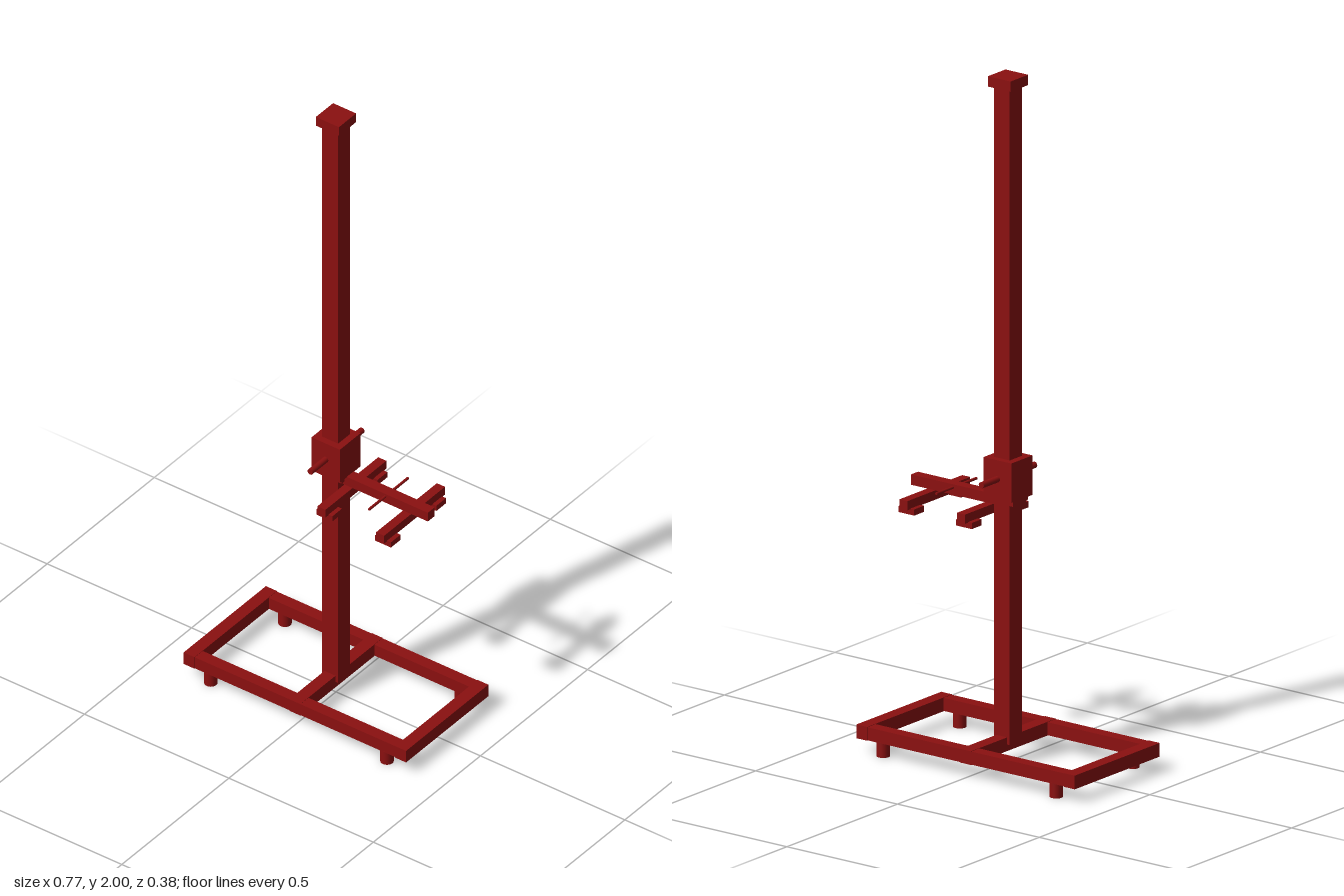
import * as THREE from 'three';

export function createModel() {
  const model = new THREE.Group();
  const paint = new THREE.MeshStandardMaterial({ color: 0x8b1010 });

  const add = (name, geometry, x, y, z, parent = model) => {
    const mesh = new THREE.Mesh(geometry, paint);
    mesh.name = name;
    mesh.position.set(x, y, z);
    parent.add(mesh);
    return mesh;
  };
  // Box given by its x, y and z extents
  const box = (name, [x0, x1], [y0, y1], [z0, z1], parent) =>
    add(name, new THREE.BoxGeometry(x1 - x0, y1 - y0, z1 - z0),
      (x0 + x1) / 2, (y0 + y1) / 2, (z0 + z1) / 2, parent);
  // Round bar running along z
  const bar = (name, radius, length, x, y, parent) => {
    add(name, new THREE.CylinderGeometry(radius, radius, length, 16), x, y, 0, parent).rotation.x = Math.PI / 2;
  };
  const group = (name) => {
    const g = new THREE.Group();
    g.name = name;
    model.add(g);
    return g;
  };

  // Base frame of square tubes on four round feet
  const base = group('base');
  for (const s of [-1, 1]) {
    add('longRail', new THREE.BoxGeometry(0.766, 0.038, 0.037), 0, 0.061, s * 0.1725, base);
    add('endRail', new THREE.BoxGeometry(0.038, 0.04, 0.384), s * 0.366, 0.061, 0, base);
    for (const t of [-1, 1]) {
      add('foot', new THREE.CylinderGeometry(0.019, 0.019, 0.044, 20), s * 0.305, 0.022, t * 0.173, base);
    }
  }
  add('middleRail', new THREE.BoxGeometry(0.038, 0.04, 0.384), 0, 0.061, 0, base);

  // Mast and cap
  box('mast', [-0.028, 0.028], [0.06, 1.98], [-0.028, 0.028]);
  box('mastCap', [-0.04, 0.04], [1.97, 2], [-0.04, 0.04]);

  // Sliding carriage with a cross handle
  const carriage = group('carriage');
  box('sleeve', [-0.049, 0.049], [0.775, 0.89], [-0.048, 0.048], carriage);
  box('lowerBracket', [-0.041, 0.041], [0.757, 0.776], [-0.029, 0.029], carriage);
  bar('handle', 0.009, 0.242, 0, 0.835, carriage);

  // Side arm with a thin cross rod
  const arm = group('arm');
  box('armBeam', [0.028, 0.33], [0.747, 0.777], [-0.016, 0.016], arm);
  bar('crossRod', 0.004, 0.182, 0.182, 0.768, arm);

  // Two crossbars carrying the clamp pads
  for (const x of [0.055, 0.258]) {
    box('crossbar', [x - 0.014, x + 0.014], [0.72, 0.747], [-0.142, 0.142], arm);
    for (const s of [-1, 1]) {
      add('pad', new THREE.BoxGeometry(0.055, 0.018, 0.045), x, 0.713, s * 0.106, arm);
    }
  }
  return model;
}
